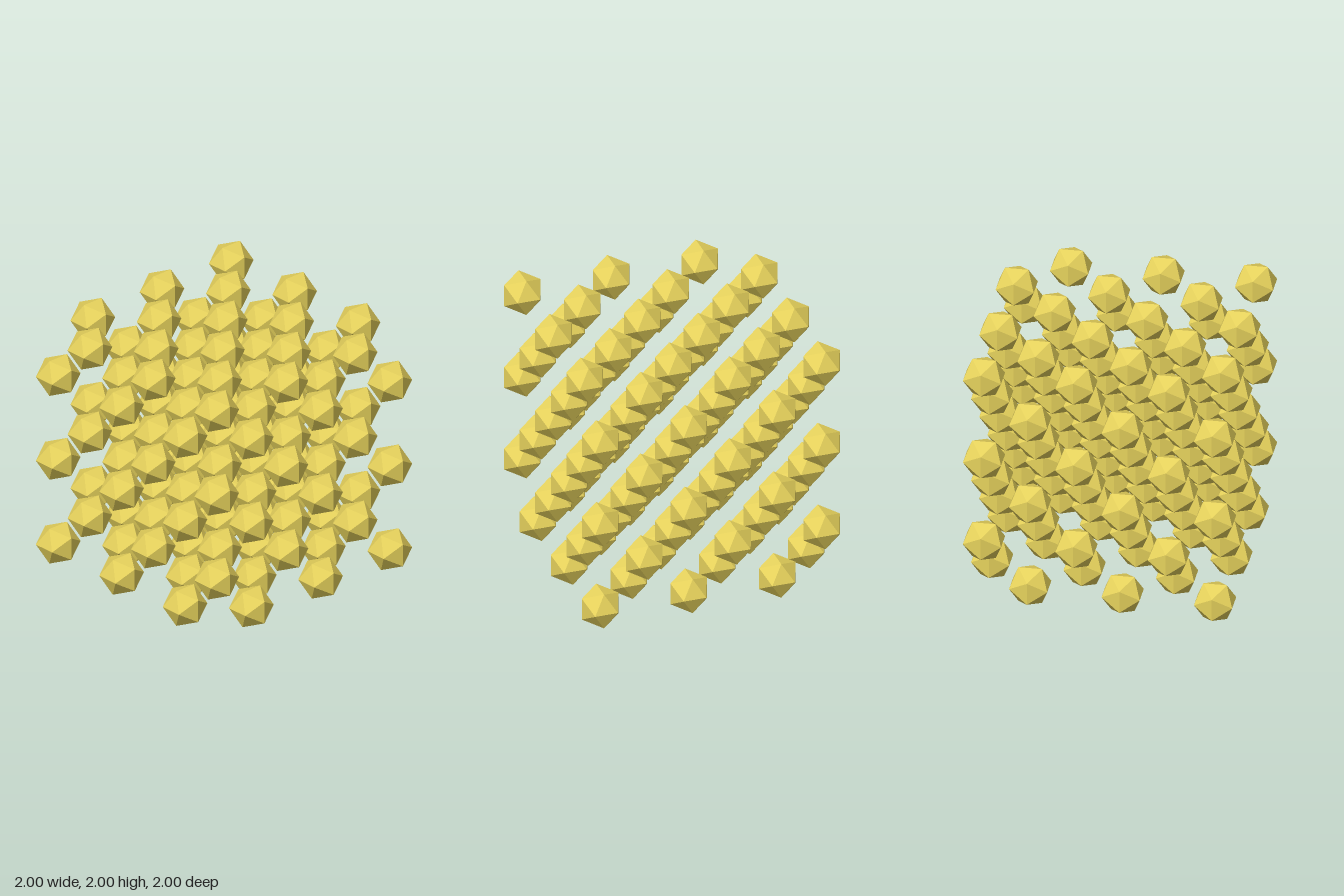
import * as THREE from 'three';

const COUNT = 6;          // lattice sites per axis
const RADIUS = 0.1665;    // circumradius of one icosahedron
const HALF = RADIUS * 0.85065; // half its bounding width
const STEP = (2 - 2 * HALF) / (COUNT - 1);

export function createModel() {
  const model = new THREE.Group();
  model.name = 'icosahedronLattice';

  const geometry = new THREE.IcosahedronGeometry(RADIUS, 0);
  const material = new THREE.MeshStandardMaterial({ color: 0xe6d25c, flatShading: true });
  const at = (i) => -1 + HALF + i * STEP;

  // One group per layer; icosahedra fill alternate sites like a 3D checkerboard
  for (let j = 0; j < COUNT; j++) {
    const layer = new THREE.Group();
    layer.name = `layer${j + 1}`;
    layer.position.y = HALF + j * STEP;
    for (let i = 0; i < COUNT; i++) {
      for (let k = 0; k < COUNT; k++) {
        if ((i + j + k) % 2) continue;
        const mesh = new THREE.Mesh(geometry, material);
        mesh.name = 'icosahedron';
        mesh.position.set(at(i), 0, at(k));
        layer.add(mesh);
      }
    }
    model.add(layer);
  }
  return model;
}
